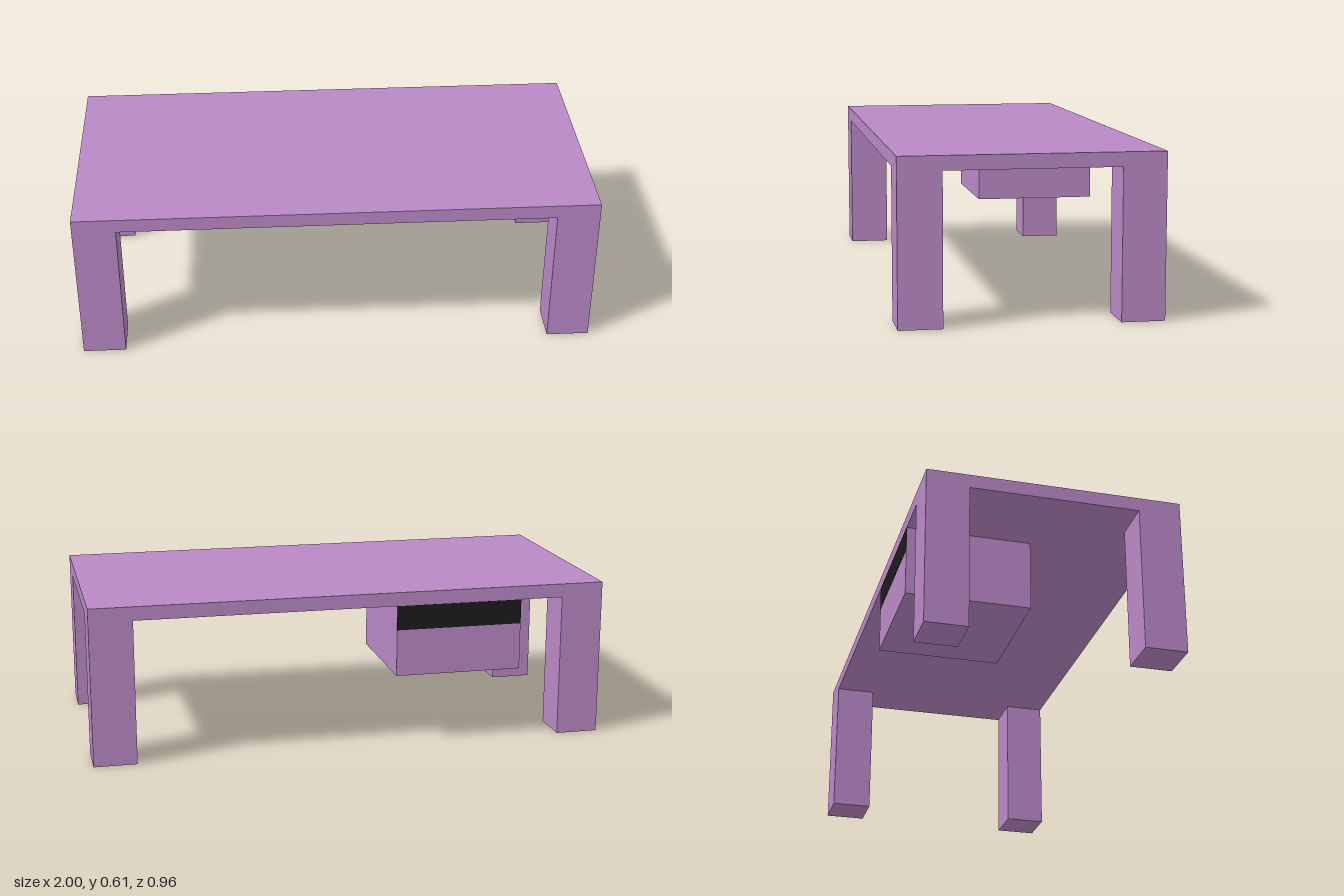
import * as THREE from 'three';

export function createModel() {
  const group = new THREE.Group();
  const purple = new THREE.MeshStandardMaterial({ color: 0xb988c6 });
  const dark = new THREE.MeshStandardMaterial({ color: 0x1c1a1c });

  // Box given by its minimum and maximum corners
  function box(name, [x0, y0, z0], [x1, y1, z1], material = purple) {
    const mesh = new THREE.Mesh(new THREE.BoxGeometry(x1 - x0, y1 - y0, z1 - z0), material);
    mesh.position.set((x0 + x1) / 2, (y0 + y1) / 2, (z0 + z1) / 2);
    mesh.name = name;
    group.add(mesh);
    return mesh;
  }

  const height = 0.61, underside = 0.557, halfDepth = 0.48;

  // Table top
  box('tableTop', [-1, underside, -halfDepth], [1, height, halfDepth]);

  // Four square legs flush with the corners
  for (const sx of [-1, 1]) {
    for (const sz of [-1, 1]) {
      const leg = box((sz > 0 ? 'front' : 'back') + (sx > 0 ? 'Left' : 'Right') + 'Leg',
        [0.835, 0, 0.32], [1, underside, halfDepth]);
      leg.position.x *= sx;
      leg.position.z *= sz;
    }
  }

  // Drawer box hanging below the top, flush with the back edge
  box('drawerBox', [-0.667, 0.28, -halfDepth], [-0.17, underside, 0]);

  // Dark band across the upper part of the drawer's back face
  box('drawerGap', [-0.667, 0.462, -halfDepth - 0.001], [-0.17, underside, -halfDepth + 0.002], dark);

  return group;
}
